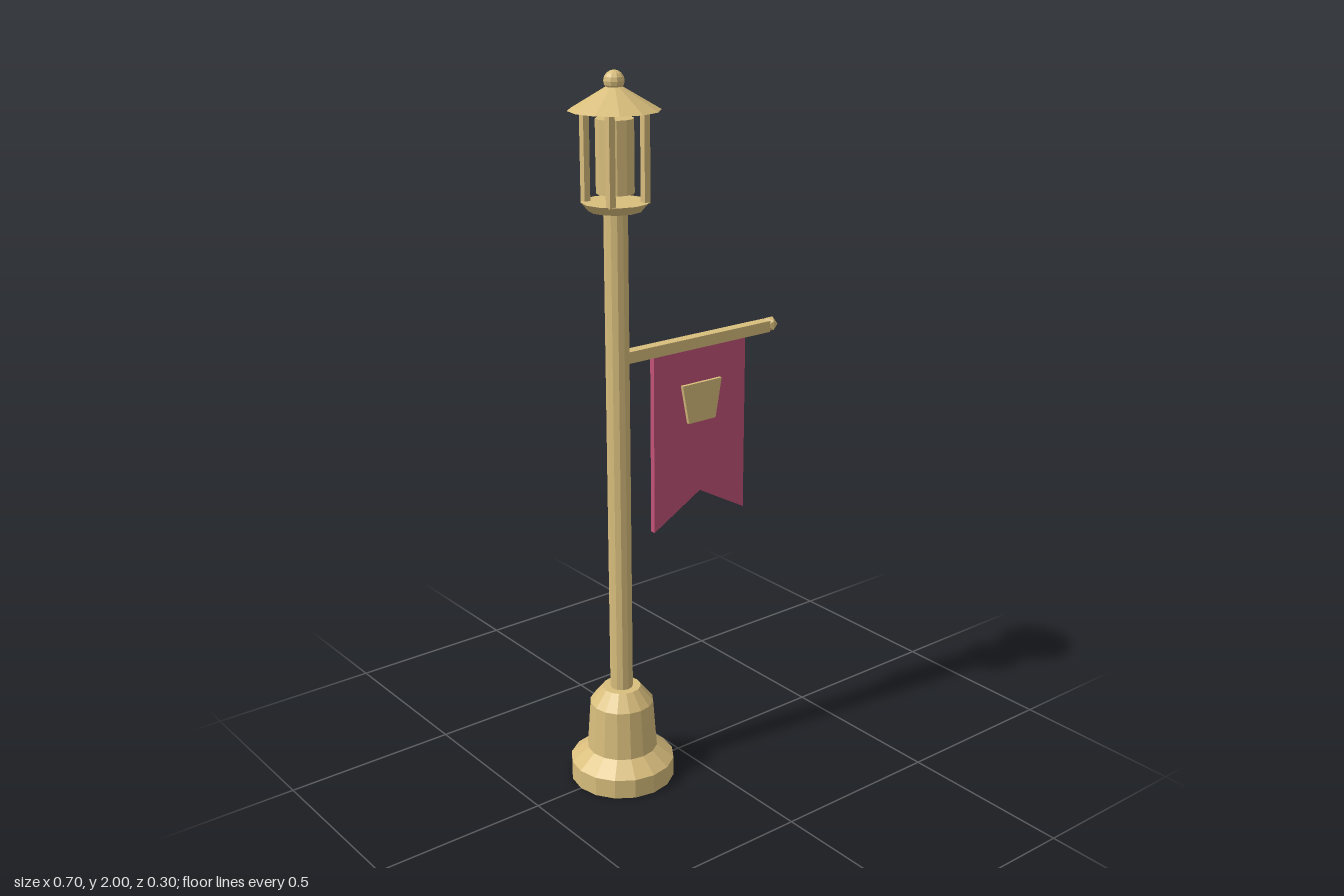
import * as THREE from 'three';

export function createModel() {
  const model = new THREE.Group();
  model.name = 'bannerLampPost';

  const brass = new THREE.MeshStandardMaterial({ color: 0xd8bd7c, flatShading: true });
  brass.name = 'brass';
  const cloth = new THREE.MeshStandardMaterial({ color: 0xc25279, flatShading: true });
  cloth.name = 'crimson cloth';

  const add = (parent, name, geometry, material, x = 0, y = 0, z = 0) => {
    const mesh = new THREE.Mesh(geometry, material);
    mesh.name = name;
    mesh.position.set(x, y, z);
    parent.add(mesh);
    return mesh;
  };
  // Cylinder or cone standing between two heights
  const column = (parent, name, rBottom, rTop, y0, y1, sides, x = 0, z = 0) =>
    add(parent, name, new THREE.CylinderGeometry(rTop, rBottom, y1 - y0, sides), brass, x, (y0 + y1) / 2, z);
  // Flat outline with thickness, centred on z
  const plate = (points, depth) => {
    const shape = new THREE.Shape(points.map(([x, y]) => new THREE.Vector2(x, y)));
    return new THREE.ExtrudeGeometry(shape, { depth, bevelEnabled: false }).translate(0, 0, -depth / 2);
  };

  // Everything turned about the pole axis
  const post = new THREE.Group();
  post.name = 'post';
  post.position.x = -0.205;
  model.add(post);

  // Stepped pedestal
  const profile = [[0, 0], [0.148, 0], [0.148, 0.056], [0.1, 0.095], [0.09, 0.235], [0.054, 0.28], [0, 0.28]];
  add(post, 'pedestal', new THREE.LatheGeometry(profile.map(([r, y]) => new THREE.Vector2(r, y)), 16), brass);
  column(post, 'pole', 0.032, 0.032, 0.27, 1.655, 12);

  // Lantern: tray, core, four corner bars, roof and finial
  const lantern = new THREE.Group();
  lantern.name = 'lantern';
  post.add(lantern);
  column(lantern, 'lanternTray', 0.07, 0.09, 1.645, 1.668, 12);
  column(lantern, 'lanternCore', 0.05, 0.05, 1.69, 1.88, 12);
  for (const sx of [-1, 1]) {
    for (const sz of [-1, 1]) {
      add(lantern, 'lanternBar', new THREE.BoxGeometry(0.018, 0.24, 0.018), brass, sx * 0.055, 1.785, sz * 0.055);
    }
  }
  column(lantern, 'roof', 0.12, 0.012, 1.9, 1.964, 12);
  add(lantern, 'finial', new THREE.SphereGeometry(0.027, 10, 8), brass, 0, 1.973, 0);

  // Banner arm with its end knob
  add(model, 'arm', new THREE.BoxGeometry(0.525, 0.032, 0.032), brass, 0.0575, 1.248, 0);
  add(model, 'armKnob', new THREE.IcosahedronGeometry(0.024, 0), brass, 0.33, 1.25, 0);

  // Swallow-tailed banner and its emblem
  const bannerOutline = [[-0.09, 0.72], [0.072, 0.81], [0.234, 0.72], [0.234, 1.234], [-0.09, 1.234]];
  add(model, 'banner', plate(bannerOutline, 0.016), cloth);
  const emblemOutline = [[0.025, 1.02], [0.12, 1.02], [0.141, 1.133], [0.003, 1.133]];
  add(model, 'emblem', plate(emblemOutline, 0.0098), brass, 0, 0, 0.0129);

  return model;
}
